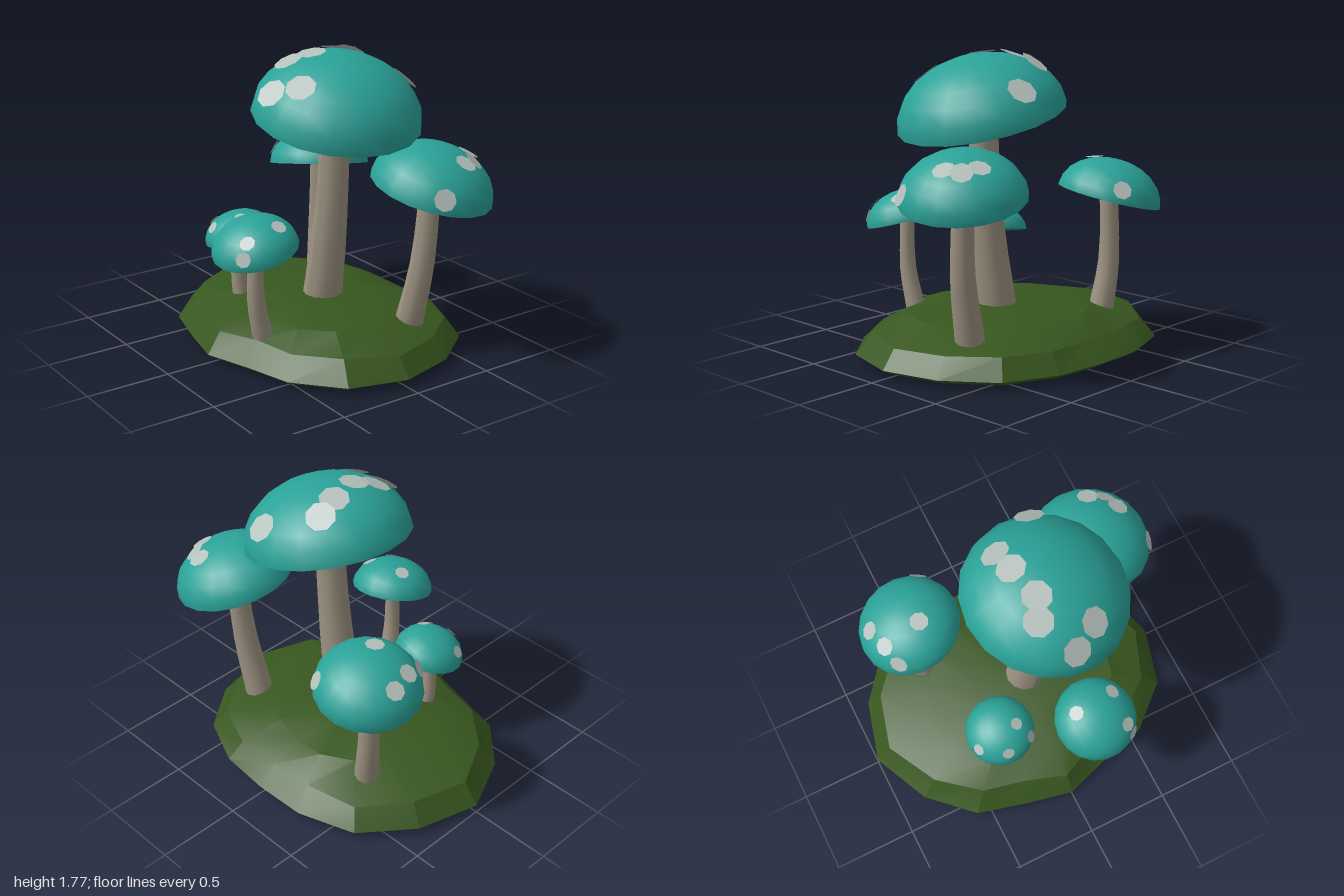
import * as THREE from 'three';
import { toCreasedNormals } from 'three/addons/utils/BufferGeometryUtils.js';

const mat = (color, side = THREE.FrontSide) => new THREE.MeshStandardMaterial({ color, side });
const capMat = mat(0x2aa298);
const stemMat = mat(0x9c9281);
const spotMat = mat(0xb4c0bc, THREE.DoubleSide);
const groundMat = mat(0x38571f);

function add(parent, name, geometry, material) {
  const mesh = new THREE.Mesh(geometry, material);
  mesh.name = name;
  parent.add(mesh);
  return mesh;
}

// Mossy mound: outline radii at equal angles, from the right side round the back
const outline = [1, 0.97, 0.935, 0.84, 0.785, 0.82, 0.88, 0.9, 0.92, 0.89, 0.8, 0.7, 0.735, 0.73, 0.835, 0.91];
// Its profile from underside to top, as [scale, y]
const profile = [[0, 0], [0.94, 0.02], [1, 0.05], [0.88, 0.165], [0.62, 0.245], [0.3, 0.28], [0, 0.292]];

function moundGeometry() {
  const n = outline.length;
  const pos = [];
  const index = [];
  let seed = 7;
  const rand = () => (seed = (seed * 16807) % 2147483647) / 2147483647 - 0.5;
  profile.forEach(([scale, y], j) => {
    // The shoulder rings are a little uneven
    const rough = j === 3 || j === 4 ? 1 : 0;
    outline.forEach((radius, i) => {
      const angle = (i / n) * Math.PI * 2;
      const k = radius * (scale + rough * rand() * 0.07);
      pos.push(-Math.cos(angle) * k, y + rough * rand() * 0.025, -Math.sin(angle) * k);
      const b = j * n + i;
      const a = j * n + ((i + 1) % n);
      if (j > 0 && j < profile.length - 1) index.push(a, b, b + n);
      if (j < profile.length - 2) index.push(a, b + n, a + n);
    });
  });
  const g = new THREE.BufferGeometry();
  g.setAttribute('position', new THREE.Float32BufferAttribute(pos, 3));
  g.setIndex(index);
  return toCreasedNormals(g, 0.3);
}

// Bent stem, widest at the foot, through base and bend up into the cap
function stemGeometry(base, bend, rim, r) {
  const foot = new THREE.Vector3(...base);
  const knee = new THREE.Vector3(...bend);
  const top = new THREE.Vector3(...rim);
  top.y += 0.15 * r;
  const curve = new THREE.CatmullRomCurve3([foot, knee, top]);
  const g = new THREE.CylinderGeometry(1, 1, 1, 12, 6, true);
  const p = g.attributes.position;
  for (let i = 0; i < p.count; i++) {
    const t = p.getY(i) + 0.5;
    const c = curve.getPoint(t);
    const radius = r * THREE.MathUtils.lerp(0.245, 0.18, Math.min(1, t * 1.3));
    p.setXYZ(i, c.x + p.getX(i) * radius, c.y, c.z + p.getZ(i) * radius);
  }
  g.computeVertexNormals();
  return g;
}

// rim: centre of the cap's underside; slope: rise of the rim along x and z;
// spots: [x, z], dropped onto the cap from above
const mushrooms = [
  {
    name: 'largeMushroom', rim: [0.175, 1.385, -0.04], r: 0.49, slope: [-0.245, -0.03],
    base: [0.045, 0.24, -0.035], bend: [0.125, 0.75, -0.035],
    spots: [[-0.01, -0.27], [0.02, -0.14], [0.07, 0.06], [0.02, 0.18], [0.3, 0.29], [0.15, 0.38], [0.28, -0.44]],
  },
  {
    name: 'leftMushroom', rim: [0.645, 1.02, -0.355], r: 0.355, slope: [-0.23, 0.14],
    base: [0.54, 0.19, -0.3], bend: [0.62, 0.58, -0.325],
    spots: [[0.72, -0.55], [0.81, -0.51], [0.85, -0.42], [0.945, -0.2]],
  },
  {
    name: 'rightMushroom', rim: [-0.515, 0.885, -0.41], r: 0.31, slope: [0.21, 0.14],
    base: [-0.485, 0.2, -0.385], bend: [-0.523, 0.5, -0.41],
    spots: [[-0.35, -0.64], [-0.745, -0.44], [-0.71, -0.305], [-0.48, -0.325], [-0.68, -0.19]],
  },
  {
    name: 'smallMushroom', rim: [-0.295, 0.61, 0.325], r: 0.207, slope: [0.17, -0.19],
    base: [-0.29, 0.2, 0.32], bend: [-0.303, 0.38, 0.335],
    spots: [[-0.46, 0.39], [-0.21, 0.37], [-0.16, 0.455], [-0.32, 0.49]],
  },
  {
    name: 'frontMushroom', rim: [0.222, 0.725, 0.545], r: 0.247, slope: [-0.09, -0.25],
    base: [0.207, 0.17, 0.49], bend: [0.22, 0.42, 0.545],
    spots: [[0.11, 0.51], [0.355, 0.48], [0.355, 0.68], [0.375, 0.72]],
  },
];

function buildMushroom({ name, rim, r, slope, base, bend, spots }) {
  const group = new THREE.Group();
  group.name = name;
  add(group, 'stem', stemGeometry(base, bend, rim, r), stemMat);

  // Tilted dome closed by a flat underside
  const cap = new THREE.Group();
  cap.name = 'cap';
  cap.position.set(...rim);
  cap.quaternion.setFromUnitVectors(
    new THREE.Vector3(0, 1, 0), new THREE.Vector3(-slope[0], 1, -slope[1]).normalize());
  group.add(cap);
  const domeGeo = new THREE.SphereGeometry(1, 18, 6, 0, Math.PI * 2, 0, Math.PI / 2).scale(r, 0.73 * r, r);
  const dome = add(cap, 'capDome', domeGeo, capMat);
  add(cap, 'capUnderside', new THREE.CircleGeometry(r, 18).rotateX(Math.PI / 2), capMat);
  group.updateMatrixWorld(true);

  // Flat octagonal spots laid on the dome
  for (const [x, z] of spots) {
    const ray = new THREE.Raycaster(new THREE.Vector3(x, 3, z), new THREE.Vector3(0, -1, 0));
    const [hit] = ray.intersectObject(dome);
    const normal = hit.face.normal.clone().transformDirection(dome.matrixWorld);
    const spot = add(group, 'spot', new THREE.CircleGeometry(0.18 * r, 8), spotMat);
    spot.position.copy(hit.point).addScaledVector(normal, 0.006);
    spot.quaternion.setFromUnitVectors(new THREE.Vector3(0, 0, 1), normal);
  }
  return group;
}

export function createModel() {
  const model = new THREE.Group();
  model.name = 'mushroomCluster';
  add(model, 'ground', moundGeometry(), groundMat);
  for (const m of mushrooms) model.add(buildMushroom(m));
  return model;
}
